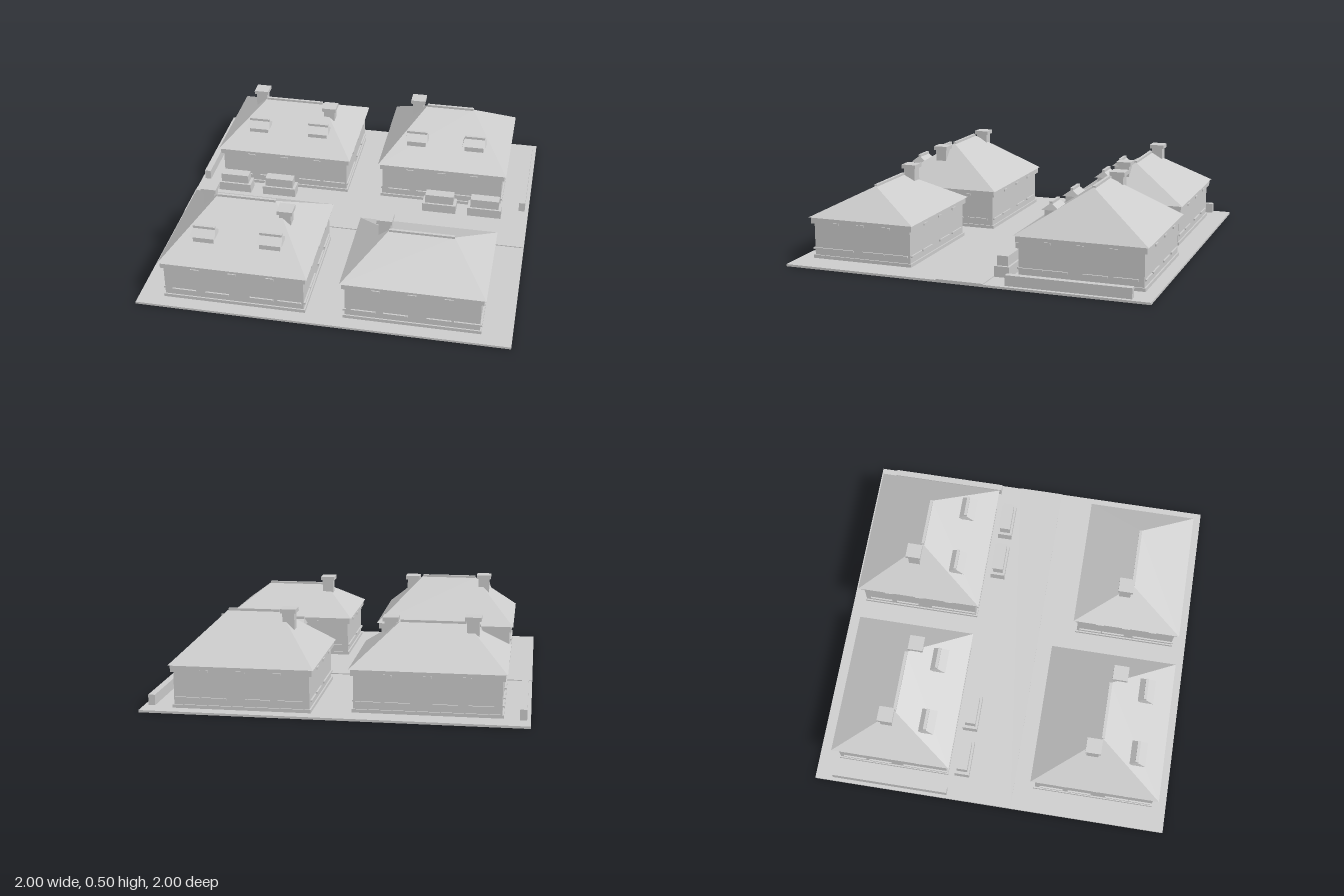
import * as THREE from 'three';

const stone = new THREE.MeshStandardMaterial({ color: 0xcccccc });
stone.name = 'pale grey';

function add(parent, name, geometry) {
  const mesh = new THREE.Mesh(geometry, stone);
  mesh.name = name;
  parent.add(mesh);
  return mesh;
}

// Box given by its extents on each axis
function box(parent, name, x0, x1, y0, y1, z0, z1) {
  const mesh = add(parent, name, new THREE.BoxGeometry(x1 - x0, y1 - y0, z1 - z0));
  mesh.position.set((x0 + x1) / 2, (y0 + y1) / 2, (z0 + z1) / 2);
  return mesh;
}

// Hipped roof: four eave corners rising to a ridge along x
function hipRoof(parent, name, x0, x1, z0, z1, y, ridge0, ridge1, ridgeY) {
  const zm = (z0 + z1) / 2;
  const a = [x0, y, z1], b = [x1, y, z1], c = [x1, y, z0], d = [x0, y, z0];
  const e = [ridge0, ridgeY, zm], f = [ridge1, ridgeY, zm];
  const faces = [[a, b, f], [a, f, e], [b, c, f], [c, d, e], [c, e, f], [d, a, e], [a, d, c], [a, c, b]];
  const geometry = new THREE.BufferGeometry();
  geometry.setAttribute('position', new THREE.Float32BufferAttribute(faces.flat(2), 3));
  geometry.computeVertexNormals();
  add(parent, name, geometry);
  box(parent, name + 'Ridge', ridge0, ridge1, ridgeY - 0.006, ridgeY + 0.008, zm - 0.008, zm + 0.008);
}

// Thin plates spread along all four walls
function wallPlates(parent, name, { x0, x1, z0, z1 }, y, height, width, out, offsets) {
  const xm = (x0 + x1) / 2, zm = (z0 + z1) / 2;
  for (const t of offsets) {
    const x = xm + t * (x1 - x0), z = zm + t * (z1 - z0);
    const w = width / 2, h = height / 2;
    for (const wallZ of [z0, z1]) box(parent, name, x - w, x + w, y - h, y + h, wallZ - out, wallZ + out);
    for (const wallX of [x0, x1]) box(parent, name, wallX - out, wallX + out, y - h, y + h, z - w, z + w);
  }
}

function chimney(parent, x, z, top) {
  const group = new THREE.Group();
  group.name = 'chimney';
  parent.add(group);
  box(group, 'chimneyStack', x - 0.032, x + 0.032, 0.25, top - 0.02, z - 0.032, z + 0.032);
  box(group, 'chimneyCap', x - 0.042, x + 0.042, top - 0.022, top, z - 0.042, z + 0.042);
}

function dormer(parent, x, z, y) {
  const group = new THREE.Group();
  group.name = 'dormer';
  parent.add(group);
  box(group, 'dormerBody', x - 0.056, x + 0.056, y - 0.07, y, z - 0.03, z + 0.036);
  hipRoof(group, 'dormerRoof', x - 0.069, x + 0.069, z - 0.05, z + 0.05, y, x - 0.06, x + 0.06, y + 0.038);
}

function house(parent, spec) {
  const group = new THREE.Group();
  group.name = spec.name;
  parent.add(group);
  const [x0, x1] = spec.x, [z0, z1] = spec.z;
  const inset = (d) => ({ x0: x0 + d, x1: x1 - d, z0: z0 + d, z1: z1 - d });
  const slab = (name, d, y0, y1) => {
    const r = inset(d);
    box(group, name, r.x0, r.x1, y0, y1, r.z0, r.z1);
  };
  slab('plinth', 0.016, 0, 0.03);
  slab('walls', 0.024, 0.03, 0.212);
  slab('eaveBand', 0.01, 0.205, 0.24);
  wallPlates(group, 'eaveBlock', inset(0.014), 0.213, 0.012, 0.045, 0.01, [-0.26, 0, 0.26]);
  wallPlates(group, 'sill', inset(0.024), 0.066, 0.01, 0.13, 0.009, [-0.36, -0.12, 0.2, 0.4]);
  hipRoof(group, 'roof', x0, x1, z0, z1, 0.24, spec.ridge[0], spec.ridge[1], spec.ridgeY);
  for (const c of spec.chimneys) chimney(group, ...c);
  for (const x of spec.dormers) dormer(group, x, z1 - 0.157, spec.dormerY);
}

export function createModel() {
  const model = new THREE.Group();
  model.name = 'housingBlock';

  // Ground with a cross street
  box(model, 'ground', -1, 1, 0, 0.012, -1, 1);
  box(model, 'street', -1, 1, 0.01, 0.017, -0.13, 0.13);

  // Four hipped houses
  const houses = [
    { name: 'frontRightHouse', x: [-0.88, -0.075], z: [0.225, 0.94], ridge: [-0.636, -0.316], ridgeY: 0.47,
      chimneys: [[-0.69, 0.54, 0.495], [-0.25, 0.63, 0.465]], dormers: [-0.658, -0.297], dormerY: 0.355 },
    { name: 'backRightHouse', x: [-0.88, -0.075], z: [-0.9, -0.235], ridge: [-0.652, -0.305], ridgeY: 0.43,
      chimneys: [[-0.69, -0.605, 0.475], [-0.25, -0.52, 0.445]], dormers: [-0.658, -0.297], dormerY: 0.34 },
    { name: 'backLeftHouse', x: [0.096, 0.855], z: [-0.947, -0.235], ridge: [0.337, 0.615], ridgeY: 0.47,
      chimneys: [[0.278, -0.63, 0.495]], dormers: [0.305, 0.648], dormerY: 0.355 },
    { name: 'frontLeftHouse', x: [0.096, 0.855], z: [0.326, 0.94], ridge: [0.305, 0.652], ridgeY: 0.395,
      chimneys: [[0.278, 0.594, 0.452]], dormers: [], dormerY: 0 },
  ];
  for (const spec of houses) house(model, spec);

  // Parked vehicles: wide body with a narrower cabin
  for (const x of [-0.762, -0.489, 0.479, 0.746]) {
    box(model, 'vehicleBody', x - 0.099, x + 0.099, 0.012, 0.07, -0.214, -0.13);
    box(model, 'vehicleCabin', x - 0.083, x + 0.083, 0.07, 0.123, -0.202, -0.142);
  }

  // Low boundary walls at both sides
  for (const x of [-0.963, 0.96]) {
    box(model, 'boundaryWall', x - 0.018, x + 0.018, 0.01, 0.068, -0.9, -0.24);
  }
  return model;
}
